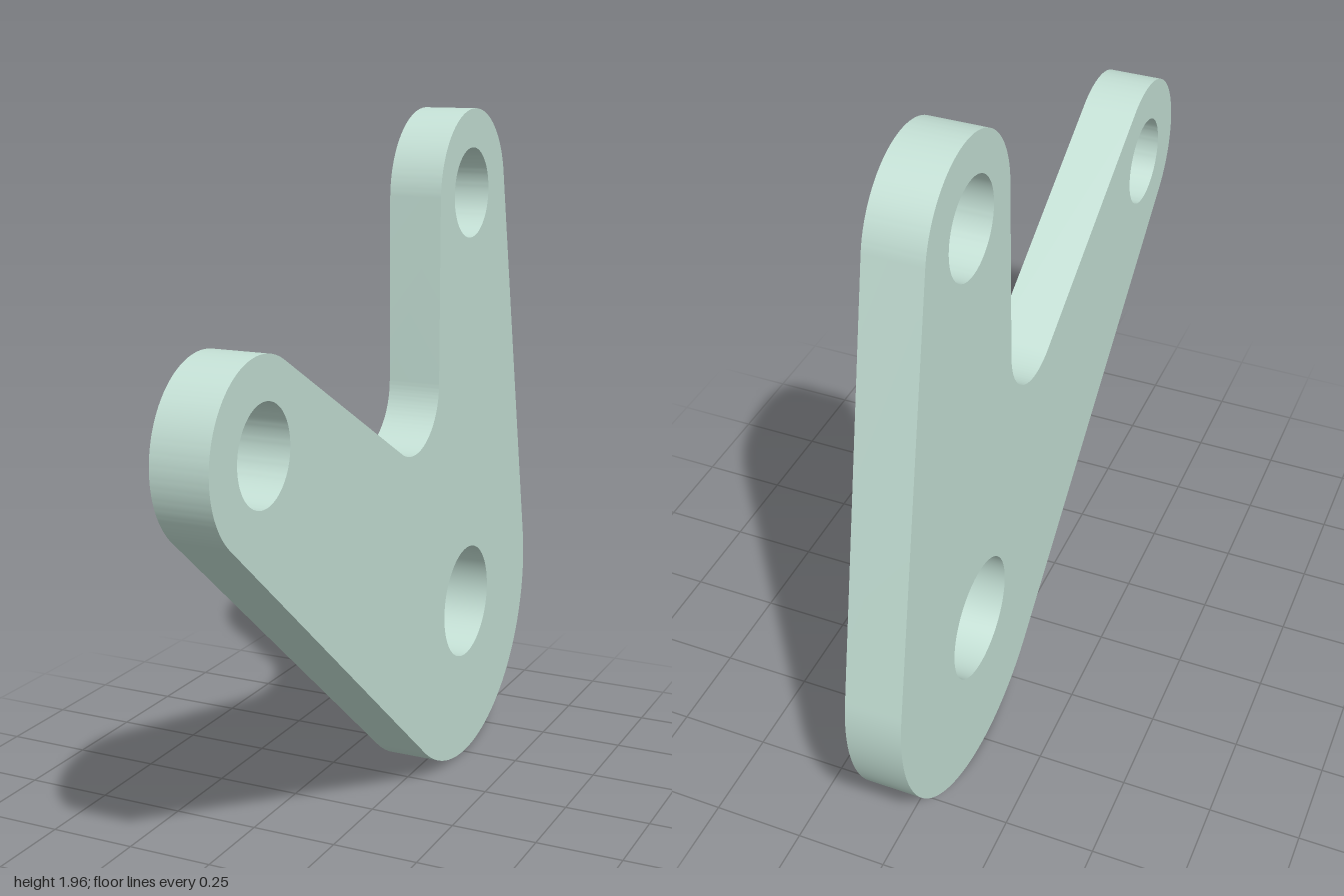
import * as THREE from 'three';
import { toCreasedNormals } from 'three/addons/utils/BufferGeometryUtils.js';

const THICKNESS = 0.154;
const rad = THREE.MathUtils.degToRad;

export function createModel() {
  const group = new THREE.Group();
  group.name = 'bellCrank';

  // Outline: tangent arcs joined by straight edges, shape x runs towards the back
  const outline = new THREE.Shape();
  outline.absarc(0.51, 0.49, 0.49, rad(-129.7), rad(11.7), false); // pivot end
  outline.absarc(0.52, 1.72, 0.24, rad(11.7), rad(180), false); // upright arm end
  outline.absarc(0.11, 1.203, 0.17, 0, rad(-120), true); // inner fillet
  outline.absarc(-0.76, 1.22, 0.24, rad(60), rad(230.3), false); // forward arm end
  outline.closePath();

  // Pivot hole and the two arm holes
  for (const [x, y, r] of [[0.507, 0.49, 0.17], [0.507, 1.723, 0.128], [-0.747, 1.22, 0.128]]) {
    const hole = new THREE.Path();
    hole.absarc(x, y, r, 0, Math.PI * 2, true);
    outline.holes.push(hole);
  }

  // Plate stands in the side plane, centred on x = 0
  const geometry = new THREE.ExtrudeGeometry(outline, {
    depth: THICKNESS, bevelEnabled: false, curveSegments: 48,
  });
  geometry.translate(0, 0, -THICKNESS / 2);
  geometry.rotateY(Math.PI / 2);

  const plate = new THREE.Mesh(
    toCreasedNormals(geometry, 0.5),
    new THREE.MeshStandardMaterial({ color: 0xc4e0d5 }),
  );
  plate.name = 'crankPlate';
  group.add(plate);
  return group;
}
